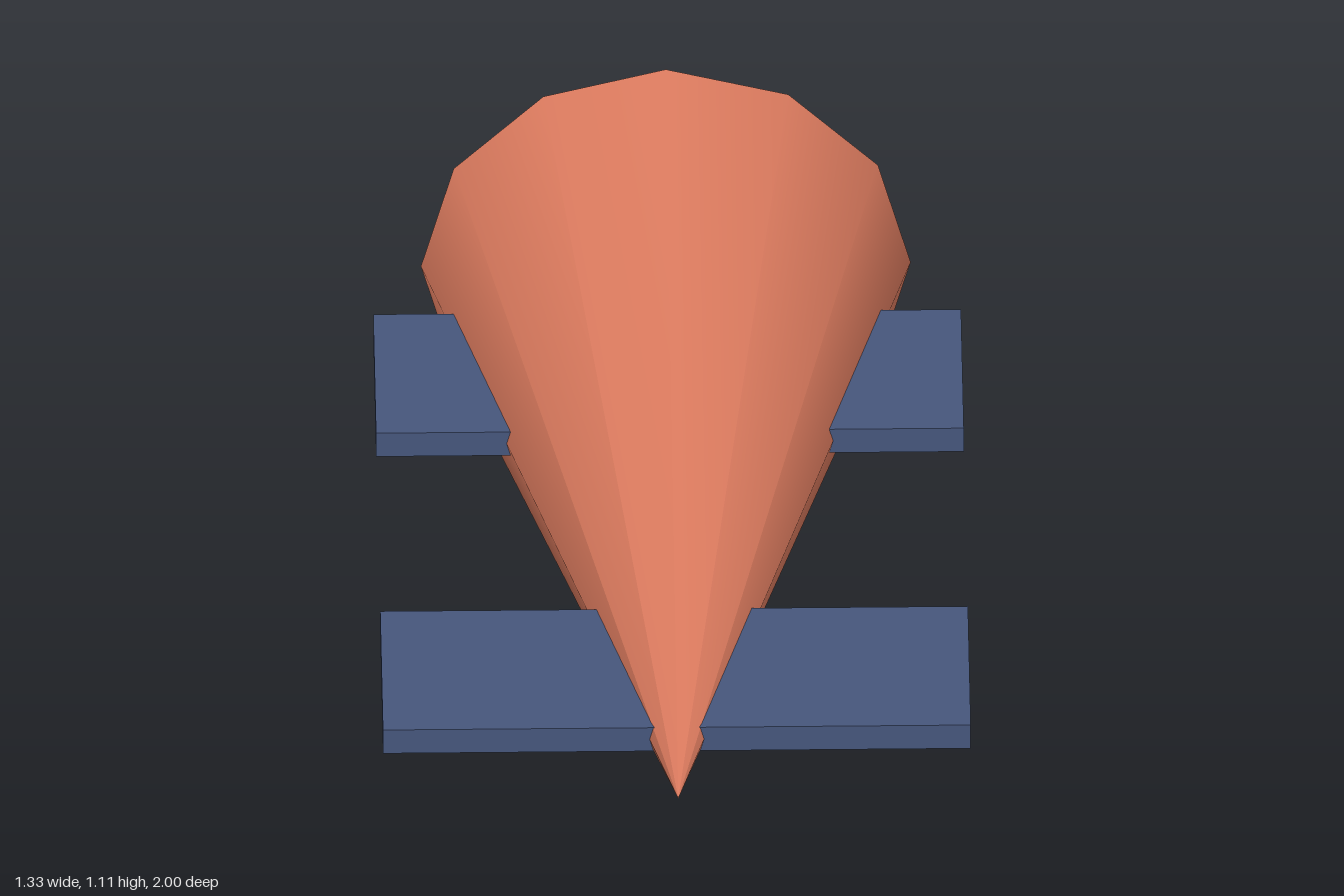
import * as THREE from 'three';

export function createModel() {
  const model = new THREE.Group();
  const radius = 5 / 9;
  const bodyMaterial = new THREE.MeshStandardMaterial({ color: 0xd9795d });
  const finMaterial = new THREE.MeshStandardMaterial({ color: 0x46567c });

  // Twelve-sided cone lying down, tip to the front, flat base at the back
  const body = new THREE.Mesh(new THREE.ConeGeometry(radius, 2, 12).rotateX(Math.PI / 2), bodyMaterial);
  body.name = 'coneBody';
  body.position.y = radius;
  model.add(body);

  // Flat fins crossing the cone, one pair near the tip and one near the base
  for (const [name, z] of [['frontFins', radius], ['rearFins', -radius]]) {
    const fins = new THREE.Mesh(new THREE.BoxGeometry(4 / 3, 0.0667, 4 / 9), finMaterial);
    fins.name = name;
    fins.position.set(0, radius, z);
    model.add(fins);
  }
  return model;
}
